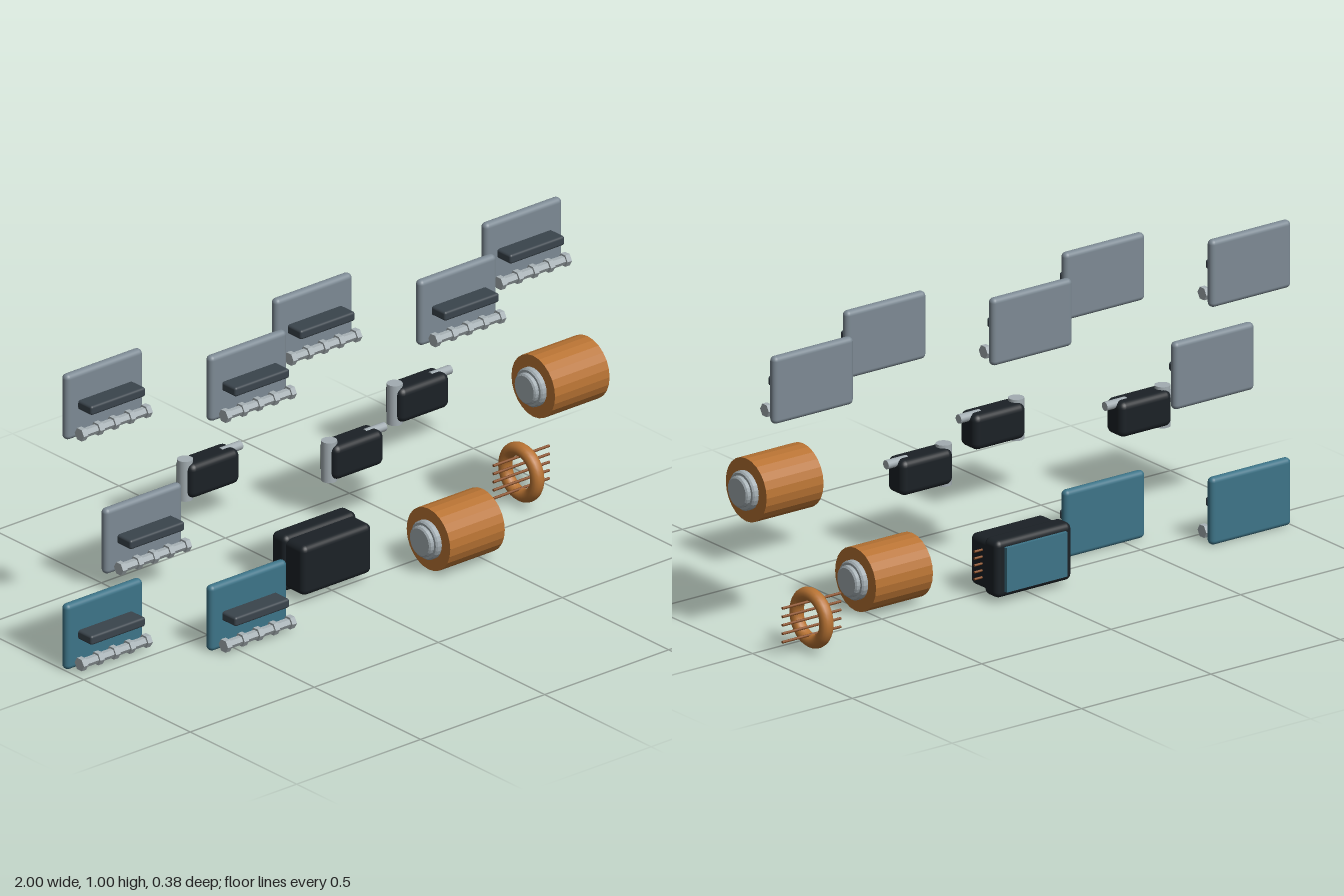
import * as THREE from 'three';
import { RoundedBoxGeometry } from 'three/addons/geometries/RoundedBoxGeometry.js';

const mat = (color, flatShading = false) => new THREE.MeshStandardMaterial({ color, flatShading });
const steel = mat(0x7d8a94), slate = mat(0x3a444c), metal = mat(0xa8b2b6, true), teal = mat(0x3d7488),
  black = mat(0x1b2126), copper = mat(0xb87333), coilCopper = mat(0xb87333, true), wire = mat(0x8a5028),
  silver = mat(0xa3adb2);

function add(group, name, geometry, material, x = 0, y = 0, z = 0) {
  const mesh = new THREE.Mesh(geometry, material);
  mesh.name = name;
  mesh.position.set(x, y, z);
  group.add(mesh);
  return mesh;
}

const rounded = (w, h, d, r) => new RoundedBoxGeometry(w, h, d, 3, r);
const rodX = (r, length, sides) => new THREE.CylinderGeometry(r, r, length, sides).rotateZ(Math.PI / 2);

// Flat plate with a front bar and a ringed hexagonal rod along its lower edge
function makePlate(material) {
  const g = new THREE.Group();
  g.name = 'plate';
  add(g, 'panel', rounded(0.31, 0.22, 0.032, 0.0155), material);
  add(g, 'frontBar', rounded(0.22, 0.031, 0.078, 0.008), slate, 0, 0, 0.039);
  const hex = (r, len) => rodX(r, len, 6).rotateX(0);
  add(g, 'hingeRod', hex(0.015, 0.27), metal, 0.005, -0.081, 0.049);
  for (const x of [-0.13, -0.063, 0, 0.063, 0.13])
    add(g, 'hingeRing', hex(0.022, 0.018), metal, x + 0.005, -0.081, 0.049);
  return g;
}

// Small dark block with an upright pin at one end and a stub at the other
function makeActuator() {
  const g = new THREE.Group();
  g.name = 'actuator';
  add(g, 'body', rounded(0.2, 0.115, 0.086, 0.022), black, 0.002, 0, 0);
  add(g, 'uprightPin', new THREE.CylinderGeometry(0.025, 0.025, 0.134, 16), silver, -0.088, 0, 0);
  add(g, 'endStub', rodX(0.0145, 0.08, 12), silver, 0.095, 0.046, 0);
  return g;
}

// Drum wound in copper with a stepped core
function makeCoil() {
  const g = new THREE.Group();
  g.name = 'coil';
  add(g, 'winding', rodX(0.1025, 0.22, 24), coilCopper);
  const half = [[0, 0.146], [0.044, 0.146], [0.05, 0.142], [0.05, 0.13], [0.058, 0.13], [0.063, 0.125], [0.063, 0.1]];
  const points = [...half, ...half.map(([r, y]) => [r, -y]).reverse()]
    .reverse().map(([r, y]) => new THREE.Vector2(r, y));
  const core = new THREE.LatheGeometry(points, 24).rotateZ(Math.PI / 2).toNonIndexed();
  core.computeVertexNormals();
  add(g, 'core', core, silver);
  return g;
}

// Evenly stacked thin wires running along x
function addWires(g, name, spacing, length, r, x, z) {
  for (let i = -2; i <= 2; i++) add(g, name, rodX(r, length, 8), wire, x, i * spacing, z);
}

// Copper ring crossed by five wires
function makeRing() {
  const g = new THREE.Group();
  g.name = 'wiredRing';
  add(g, 'ring', new THREE.TorusGeometry(0.075, 0.022, 14, 36).rotateY(Math.PI / 2), copper);
  addWires(g, 'ringWire', 0.0275, 0.225, 0.0045, 0, 0);
  return g;
}

// Dark housing with a wider rear bezel, rear panel and side contact pins
function makeHousing() {
  const g = new THREE.Group();
  g.name = 'housing';
  add(g, 'frontShell', rounded(0.28, 0.167, 0.12, 0.02), black, 0, 0, 0.0645);
  add(g, 'rearBezel', rounded(0.294, 0.187, 0.07, 0.02), black, 0, 0, 0.0115);
  add(g, 'rearPanel', new THREE.BoxGeometry(0.235, 0.145, 0.03), teal, 0, 0, -0.02);
  addWires(g, 'contactPin', 0.0225, 0.06, 0.004, 0.14, 0.06);
  return g;
}

export function createModel() {
  const model = new THREE.Group();
  model.name = 'partsSet';
  const plate = () => makePlate(steel), tealPlate = () => makePlate(teal);
  // Rows from bottom to top; depth alternates like a checkerboard
  const rows = [
    [tealPlate, tealPlate, makeHousing, makeCoil, makeRing],
    [plate, makeActuator, makeActuator, makeActuator, makeCoil],
    [plate, plate, plate, plate, plate],
  ];
  rows.forEach((row, j) => row.forEach((make, i) => {
    const part = make();
    part.position.set((i - 2) * 0.4225, 0.11 + j * 0.3875, (i + j) % 2 ? 0.09 : -0.0945);
    model.add(part);
  }));
  return model;
}
